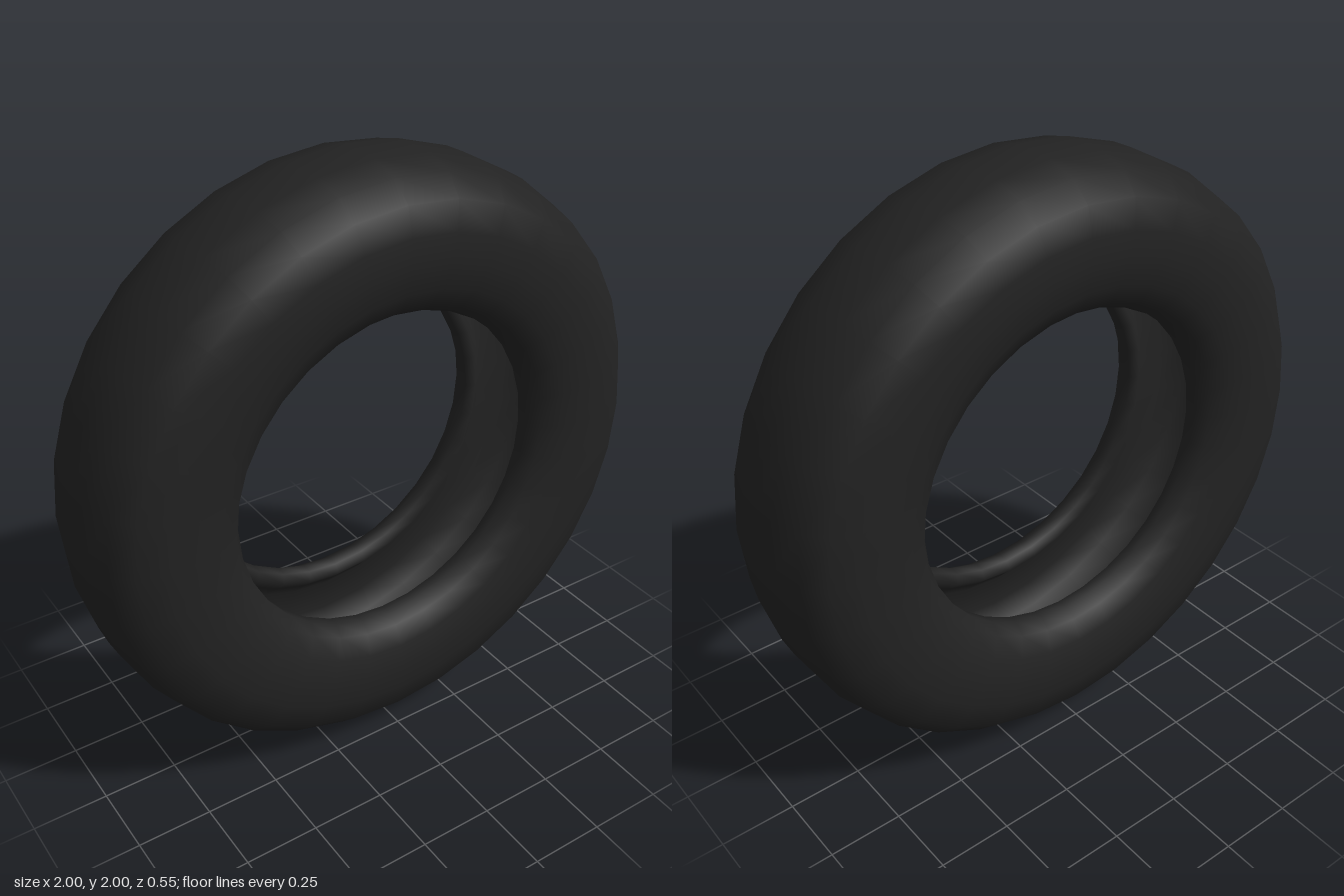
import * as THREE from 'three';

export function createModel() {
  const group = new THREE.Group();
  group.name = 'tyre';
  const rubber = new THREE.MeshStandardMaterial({ color: 0x222222 });
  rubber.name = 'black rubber';

  // half cross-section [radius, offset]: tread centre, sidewall, bead, hollow inside
  const half = [
    [1, 0], [0.997, 0.08], [0.97, 0.185], [0.91, 0.248], [0.82, 0.27],
    [0.73, 0.275], [0.645, 0.262], [0.58, 0.228], [0.552, 0.185],
    [0.555, 0.145], [0.585, 0.125], [0.625, 0.165], [0.68, 0.215],
    [0.8, 0.225], [0.89, 0.2], [0.94, 0.12], [0.95, 0],
  ];

  // mirror the half into one closed loop, with the seam hidden inside
  const loop = [
    ...half.slice(1).reverse().map(([r, z]) => new THREE.Vector2(r, -z)),
    ...half.map(([r, z]) => new THREE.Vector2(r, z)),
  ];
  const geometry = new THREE.LatheGeometry(loop, 32);
  geometry.rotateX(Math.PI / 2);

  const tyre = new THREE.Mesh(geometry, rubber);
  tyre.name = 'tyreCasing';
  tyre.position.y = 1;
  group.add(tyre);
  return group;
}
